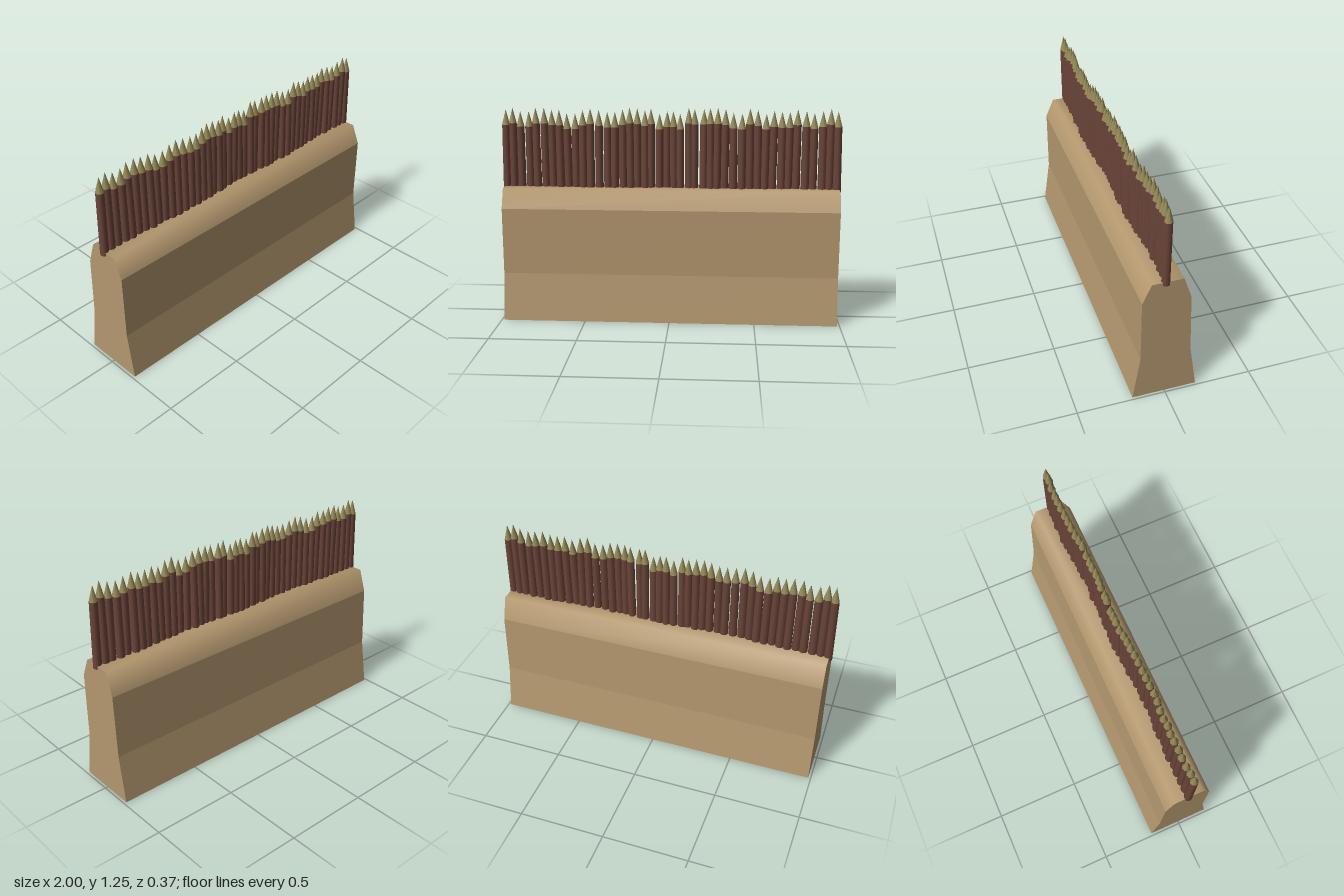
import * as THREE from 'three';

const HALF = 0.985; // half length of the wall

const sand = new THREE.MeshStandardMaterial({ color: 0xb4986f, side: THREE.DoubleSide });
sand.name = 'sand';
const wood = new THREE.MeshStandardMaterial({ color: 0x6b4539 });
wood.name = 'red brown wood';
const cutWood = new THREE.MeshStandardMaterial({ color: 0x968a58 });
cutWood.name = 'cut wood';

// Wall cross-section as [z, y], from the front foot over the top to the back foot
const profile = [
  [0.183, 0], [0.143, 0.28], [0.143, 0.67], [0.093, 0.785],
  [-0.08, 0.785], [-0.125, 0.65], [-0.14, 0.28], [-0.183, 0],
];

// Sweeps a run of profile points along x; shading is smooth within one run
function strip(points) {
  const pos = [], index = [];
  points.forEach(([z, y], i) => {
    pos.push(-HALF, y, z, HALF, y, z);
    if (i > 0) {
      const a = 2 * (i - 1);
      index.push(a, a + 1, a + 3, a, a + 3, a + 2);
    }
  });
  const g = new THREE.BufferGeometry();
  g.setAttribute('position', new THREE.Float32BufferAttribute(pos, 3));
  g.setIndex(index);
  g.computeVertexNormals();
  return g;
}

function createWall() {
  const wall = new THREE.Group();
  wall.name = 'wall';
  const add = (name, geometry) => {
    const m = new THREE.Mesh(geometry, sand);
    m.name = name;
    wall.add(m);
    return m;
  };
  add('frontFoot', strip(profile.slice(0, 2)));
  add('frontFace', strip(profile.slice(1, 3)));
  add('roundedCrown', strip(profile.slice(2, 6)));
  add('backFace', strip(profile.slice(5, 7)));
  add('backFoot', strip(profile.slice(6, 8)));
  // End panels; the underside stays open
  for (const s of [-1, 1]) {
    const shape = new THREE.Shape(profile.map(([z, y]) => new THREE.Vector2(-s * z, y)));
    const end = add(s > 0 ? 'leftEnd' : 'rightEnd', new THREE.ShapeGeometry(shape));
    end.rotation.y = s * Math.PI / 2;
    end.position.x = s * HALF;
  }
  return wall;
}

// Stake tips as [x, y] in hundredths
const tips = [
  [-97, 124], [-93, 125], [-88.5, 123], [-83.5, 123], [-79.5, 125], [-74.5, 125], [-70, 124], [-65.5, 124],
  [-61, 122], [-56, 122], [-51.5, 124], [-47, 125], [-42, 124], [-37, 123], [-32.5, 123], [-28, 124.5],
  [-24, 125.5], [-19.5, 125], [-15, 124], [-11.5, 125], [-6.5, 122], [-2, 123.5], [1.5, 123.5], [5.5, 122],
  [10.5, 125.5], [14, 125], [19.5, 125], [23, 125.5], [27.5, 125.5], [32, 125], [36.5, 123], [41.5, 122.5],
  [46, 125.5], [50.5, 124.5], [55.5, 122.5], [60, 124], [64.5, 123.5], [69, 123.5], [73.5, 125], [78.5, 124],
  [83, 123], [88, 124], [92.5, 125.5], [96.5, 124],
];

function createPalisade() {
  const palisade = new THREE.Group();
  palisade.name = 'palisade';
  const R = 0.0245, SHAFT = 0.385, POINT = 0.09;
  const shaftGeo = new THREE.CylinderGeometry(R * 0.95, R, SHAFT, 8).translate(0, -POINT - SHAFT / 2, 0);
  const pointGeo = new THREE.ConeGeometry(R * 0.95, POINT, 8).translate(0, -POINT / 2, 0);
  let seed = 7;
  const jitter = () => {
    seed = (seed * 16807) % 2147483647;
    return seed / 1073741823.5 - 1;
  };
  tips.forEach(([x, y], i) => {
    const stake = new THREE.Group();
    stake.name = 'stake' + (i + 1);
    const shaft = new THREE.Mesh(shaftGeo, wood);
    shaft.name = 'shaft';
    const point = new THREE.Mesh(pointGeo, cutWood);
    point.name = 'sharpenedPoint';
    stake.add(shaft, point);
    // The row wanders slightly and each stake leans a little
    const z = 0.014 - 0.007 * Math.cos(x * 0.08) + 0.002 * jitter();
    stake.position.set(x / 100, y / 100, z);
    const outward = Math.abs(x) > 95 ? Math.sign(x) * 0.014 : 0.012 * jitter();
    stake.rotation.set(0.014 * jitter(), 0, outward);
    palisade.add(stake);
  });
  return palisade;
}

export function createModel() {
  const model = new THREE.Group();
  model.name = 'palisadeWall';
  model.add(createWall(), createPalisade());
  return model;
}
